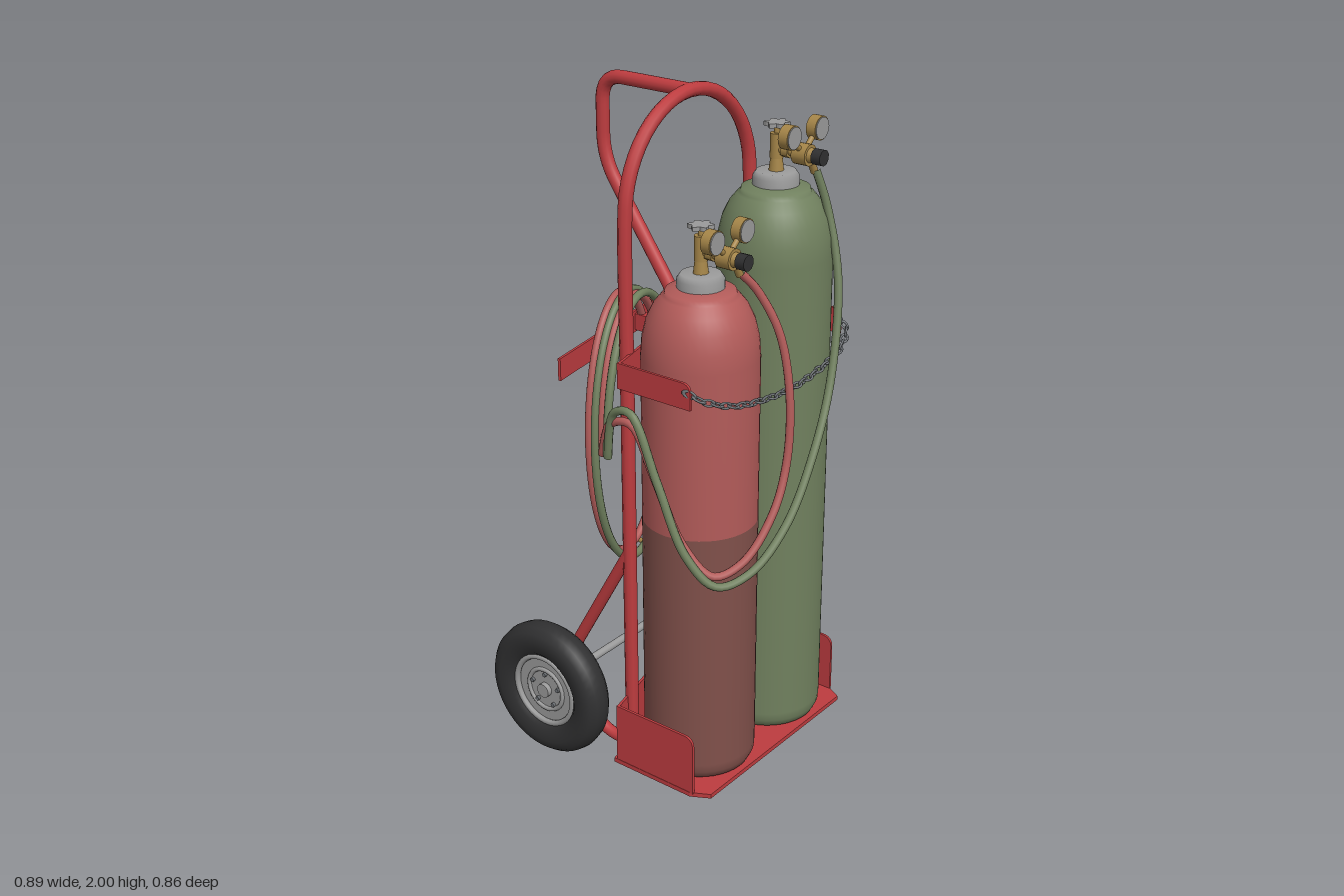
import * as THREE from 'three';

const V = (x, y, z) => new THREE.Vector3(x, y, z);
const mat = (name, color) => Object.assign(new THREE.MeshStandardMaterial({ color }), { name });

export function createModel() {
  const M = {
    frame: mat('frame red', 0xbd3c3f), ext: mat('extinguisher red', 0xd03536),
    tankRed: mat('faded red', 0xb25b59), maroon: mat('dull maroon', 0x80504a),
    green: mat('olive green', 0x70805e), brass: mat('brass', 0xa58548),
    grey: mat('light grey', 0x9a9a9a), black: mat('black rubber', 0x303031),
    chain: mat('chain steel', 0x6f7377),
  };
  const root = new THREE.Group();
  root.name = 'gasCylinderCart';

  const add = (parent, name, geo, m, x = 0, y = 0, z = 0) => {
    const mesh = new THREE.Mesh(geo, m);
    mesh.name = name;
    mesh.position.set(x, y, z);
    parent.add(mesh);
    return mesh;
  };
  const group = (name, x = 0, y = 0, z = 0) => {
    const g = new THREE.Group();
    g.name = name;
    g.position.set(x, y, z);
    root.add(g);
    return g;
  };
  const cyl = (r, h, r2 = r, n = 24) => new THREE.CylinderGeometry(r2, r, h, n);
  const cylZ = (r, h, r2 = r, n = 20) => cyl(r, h, r2, n).rotateX(Math.PI / 2);
  const cylX = (r, h, r2 = r, n = 24) => cyl(r, h, r2, n).rotateZ(-Math.PI / 2);
  const box = (x, y, z) => new THREE.BoxGeometry(x, y, z);
  const lathe = (pts, n = 40) => new THREE.LatheGeometry(pts.map(p => new THREE.Vector2(...p)), n);
  const tube = (pts, r, n = 80, tension = 0.5) => new THREE.TubeGeometry(
    new THREE.CatmullRomCurve3(pts, false, tension === 0.5 ? 'centripetal' : 'catmullrom', tension), n, r, 10);
  // Straight runs joined by rounded bends
  const bentTube = (pts, bend, r) => {
    const path = new THREE.CurvePath();
    let from = pts[0];
    for (let i = 1; i < pts.length - 1; i++) {
      const a = pts[i].clone().add(pts[i - 1].clone().sub(pts[i]).setLength(bend));
      const b = pts[i].clone().add(pts[i + 1].clone().sub(pts[i]).setLength(bend));
      path.add(new THREE.LineCurve3(from, a));
      path.add(new THREE.QuadraticBezierCurve3(a, pts[i], b));
      from = b;
    }
    path.add(new THREE.LineCurve3(from, pts[pts.length - 1]));
    return new THREE.TubeGeometry(path, 120, r, 12);
  };
  // Upright strip following a line seen from above
  const wall = (name, pts, y, h, t) => pts.slice(1).forEach(([x, z], i) => {
    const [px, pz] = pts[i];
    const w = add(root, name, box(Math.hypot(x - px, z - pz) + t * 0.5, h, t), M.frame, (x + px) / 2, y, (z + pz) / 2);
    w.rotation.y = -Math.atan2(z - pz, x - px);
  });

  // Base plate with chamfered front corners and shallow pointed back
  const outline = [[-0.33, 0.335], [-0.36, 0.28], [-0.36, -0.005], [-0.04, -0.075],
    [0.04, -0.075], [0.36, -0.005], [0.36, 0.28], [0.33, 0.335]];
  const plate = new THREE.Shape(outline.map(([x, z]) => new THREE.Vector2(x, -z)));
  add(root, 'basePlate', new THREE.ExtrudeGeometry(plate, { depth: 0.014, bevelEnabled: false })
    .rotateX(-Math.PI / 2), M.frame, 0, 0.01, 0);
  wall('baseBackWall', [[-0.355, 0.01], [-0.04, -0.066], [0.04, -0.066], [0.355, 0.01]], 0.115, 0.19, 0.008);

  // Side plates and upper band arms
  const side = (name, s, z0, z1, y0, y1, r) => {
    const sh = new THREE.Shape();
    sh.moveTo(z0, y0);
    sh.lineTo(z1, y0);
    sh.lineTo(z1, y1 - r);
    sh.quadraticCurveTo(z1, y1, z1 - r, y1);
    sh.lineTo(z0, y1);
    const g = new THREE.ExtrudeGeometry(sh, { depth: 0.008, bevelEnabled: false });
    add(root, name, g.rotateY(-Math.PI / 2), M.frame, s * 0.355 + 0.004, 0, 0);
  };
  for (const s of [-1, 1]) {
    side('baseSidePlate', s, 0.005, 0.29, 0.02, 0.21, 0.035);
    side('bandArm', s, 0.03, 0.28, 1.235, 1.31, 0.03);
  }
  wall('upperBand', [[-0.355, 0.035], [-0.04, -0.045], [0.04, -0.045], [0.355, 0.035]], 1.272, 0.075, 0.008);

  // Arched main tube
  const arch = [V(-0.28, 0.03, 0), V(-0.28, 0.6, 0), V(-0.28, 1.2, 0)];
  for (let i = 0; i <= 12; i++) {
    const a = Math.PI * (1 - i / 12);
    arch.push(V(0.28 * Math.cos(a), 1.69 + 0.29 * Math.sin(a), 0));
  }
  arch.push(V(0.28, 1.2, 0), V(0.28, 0.6, 0), V(0.28, 0.03, 0));
  add(root, 'archTube', tube(arch, 0.02, 120), M.frame);
  add(root, 'handleTube', bentTube([V(0, 1.98, 0), V(0, 1.98, -0.31), V(0, 1.74, -0.31),
    V(0, 1.36, -0.04), V(0, 0.03, -0.04)], 0.075, 0.02), M.frame);

  // Axle, braces and wheels
  add(root, 'axle', cylX(0.012, 0.72), M.grey, 0, 0.215, -0.22);
  const tyre = [[0.115, -0.03], [0.13, -0.044], [0.165, -0.05], [0.19, -0.044], [0.205, -0.025],
    [0.21, 0], [0.205, 0.025], [0.19, 0.044], [0.165, 0.05], [0.13, 0.044], [0.115, 0.03]];
  for (const s of [-1, 1]) {
    add(root, 'axleBrace', bentTube([V(s * 0.28, 0.69, 0), V(s * 0.28, 0.29, -0.225),
      V(s * 0.28, 0.15, -0.225), V(s * 0.28, 0.04, -0.1), V(s * 0.28, 0.04, 0)], 0.05, 0.018), M.frame);
    const w = group('wheel', s * 0.395, 0.21, -0.22);
    add(w, 'tyre', lathe(tyre, 48).rotateZ(-Math.PI / 2), M.black);
    add(w, 'wheelDisc', cylX(0.117, 0.045, 0.117, 36), M.grey);
    for (const e of [-1, 1]) {
      add(w, 'rimLip', new THREE.TorusGeometry(0.11, 0.009, 8, 36).rotateY(Math.PI / 2), M.grey, e * 0.028);
      add(w, 'discRing', new THREE.TorusGeometry(0.066, 0.007, 8, 30).rotateY(Math.PI / 2), M.grey, e * 0.023);
    }
    add(w, 'hub', cylX(0.04, 0.09), M.grey, -s * 0.028);
    add(w, 'hubCap', cylX(0.022, 0.02), M.grey, s * 0.028);
    for (let i = 0; i < 5; i++) {
      const a = i * Math.PI * 0.4;
      add(w, 'wheelBolt', cylX(0.007, 0.012, 0.007, 6), M.chain, s * 0.025, 0.052 * Math.cos(a), 0.052 * Math.sin(a));
    }
  }

  // Gas cylinders, each with collar, valve and regulator
  const star = new THREE.Shape();
  for (let i = 0; i < 24; i++) {
    const a = i * Math.PI / 12, r = 0.031 + 0.006 * Math.cos(6 * a);
    star[i ? 'lineTo' : 'moveTo'](r * Math.cos(a), r * Math.sin(a));
  }
  const shoulder = h => [[0.165, h - 0.18], [0.161, h - 0.125], [0.149, h - 0.075], [0.13, h - 0.035],
    [0.108, h - 0.008], [0.1, h - 0.004], [0.097, h + 0.008], [0.06, h + 0.018], [0, h + 0.018]];
  const foot = [[0, 0.024], [0.13, 0.024], [0.152, 0.032], [0.163, 0.055], [0.165, 0.08]];
  const tank = (name, x, h, lower, upper, split) => {
    const g = group(name, x, 0, 0.17);
    add(g, 'lowerShell', lathe([...foot, [0.165, split]]), lower);
    add(g, 'upperShell', lathe([[0.165, split], ...shoulder(h)]), upper);
    add(g, 'collar', lathe([[0.066, h], [0.066, h + 0.04], [0.056, h + 0.055], [0, h + 0.055]], 28), M.grey);
    const r = new THREE.Group();
    r.name = 'regulator';
    r.position.y = h + 0.115;
    g.add(r);
    add(r, 'valveStem', cyl(0.022, 0.05, 0.016), M.brass, 0, -0.04);
    add(r, 'valveBody', cyl(0.019, 0.07), M.brass, 0, 0.01);
    add(r, 'valveSpindle', cyl(0.008, 0.04), M.brass, 0, 0.055);
    add(r, 'handWheel', new THREE.ExtrudeGeometry(star, { depth: 0.012, bevelEnabled: false })
      .rotateX(-Math.PI / 2), M.grey, 0, 0.064);
    add(r, 'inletPipe', cylZ(0.012, 0.09), M.brass, 0, 0, 0.045);
    add(r, 'inletNut', cylZ(0.02, 0.022, 0.02, 6), M.brass, 0, 0, 0.035);
    add(r, 'regulatorBody', cylZ(0.03, 0.045), M.brass, 0, 0, 0.09);
    add(r, 'bonnet', cylZ(0.022, 0.025, 0.016), M.brass, 0, 0, 0.122);
    add(r, 'adjustingKnob', cylZ(0.023, 0.03, 0.023, 10), M.black, 0, 0, 0.142);
    add(r, 'outlet', cyl(0.011, 0.05), M.brass, 0.028, -0.035, 0.1).rotation.z = 0.5;
    for (const s of [-1, 1]) {
      add(r, 'gaugeStem', cyl(0.008, 0.07), M.brass, s * 0.035, 0.032, 0.088).rotation.z = -s * 0.85;
      add(r, 'gauge', cylZ(0.034, 0.03, 0.034, 28), M.brass, s * 0.066, 0.06, 0.088);
      add(r, 'gaugeFace', cylZ(0.031, 0.004, 0.031, 28), M.grey, s * 0.066, 0.06, 0.104);
    }
  };
  tank('redCylinder', -0.17, 1.49, M.maroon, M.tankRed, 0.82);
  tank('greenCylinder', 0.17, 1.695, M.green, M.green, 0.82);

  // Retaining chain of alternating links
  const sag = new THREE.CatmullRomCurve3([V(-0.355, 1.28, 0.275), V(-0.335, 1.262, 0.31), V(-0.25, 1.23, 0.343),
    V(-0.12, 1.207, 0.352), V(0, 1.2, 0.355), V(0.12, 1.207, 0.352), V(0.25, 1.23, 0.343),
    V(0.335, 1.262, 0.31), V(0.355, 1.28, 0.275)]);
  const chain = group('chain'), link = new THREE.TorusGeometry(0.0095, 0.0034, 6, 12).scale(1.75, 1, 1);
  for (let i = 0; i <= 28; i++) {
    const l = add(chain, 'chainLink', link, M.chain);
    l.position.copy(sag.getPointAt(i / 28));
    l.quaternion.setFromUnitVectors(V(1, 0, 0), sag.getTangentAt(i / 28));
    l.rotateX((i % 2) * Math.PI / 2 + 0.3);
  }

  // Hose hanger behind the frame
  wall('hoseHanger', [[-0.42, -0.122], [0.09, -0.213]], 1.272, 0.065, 0.008);
  add(root, 'hangerStrut', box(0.03, 0.05, 0.15), M.frame, 0, 1.272, -0.12);

  // Hoses: front drape, then one and a half coils over the hanger
  const coil = (dr, dz) => {
    const pts = [];
    for (let i = 0; i <= 36; i++) {
      const k = i / 24, a = Math.PI * (1 - 2 * k), c = Math.cos(a);
      pts.push(V(-0.14 + (0.2 + dr) * c, 1.01 + (0.4 + dr) * Math.sin(a), -0.075 - 0.2 * 0.2 * c - 0.045 * k + dz));
    }
    return pts;
  };
  add(root, 'greenHose', tube([V(0.21, 1.76, 0.275), V(0.235, 1.65, 0.3), V(0.225, 1.45, 0.35), V(0.15, 1.18, 0.385),
    V(0.03, 0.99, 0.41), V(-0.1, 0.83, 0.415), V(-0.23, 0.73, 0.39), V(-0.32, 0.71, 0.34), V(-0.365, 0.8, 0.27),
    V(-0.375, 1.0, 0.18), V(-0.375, 1.18, 0.09), V(-0.365, 1.16, 0.02), ...coil(0.012, 0.02)], 0.012, 300), M.green);
  add(root, 'redHose', tube([V(-0.13, 1.555, 0.275), V(-0.09, 1.5, 0.3), V(-0.055, 1.38, 0.35), V(-0.05, 1.2, 0.385),
    V(-0.075, 1.0, 0.395), V(-0.14, 0.87, 0.395), V(-0.24, 0.76, 0.37), V(-0.315, 0.735, 0.325), V(-0.35, 0.82, 0.25),
    V(-0.36, 1.0, 0.16), V(-0.36, 1.14, 0.08), V(-0.355, 1.12, 0), ...coil(0, -0.012)], 0.012, 300), M.tankRed);

  // Cutting torch hanging from the hoses
  const torch = group('torch', 0.055, 0, -0.175);
  for (const s of [-1, 1]) {
    add(torch, 'hoseFitting', cyl(0.013, 0.06, 0.013, 6), M.brass, 0, 1.0, s * 0.016);
    add(torch, 'torchValve', cylX(0.012, 0.04, 0.012, 8), M.brass, 0.025, 0.95, s * 0.02);
  }
  add(torch, 'torchManifold', box(0.03, 0.04, 0.05), M.brass, 0, 0.95);
  add(torch, 'torchGrip', cyl(0.019, 0.18), M.brass, 0, 0.85);
  add(torch, 'torchCollar', cyl(0.023, 0.03), M.brass, 0, 0.75);
  for (const [x, z] of [[0, 0.013], [0.011, -0.008], [-0.011, -0.008]])
    add(torch, 'torchPipe', cyl(0.0055, 0.22, 0.0055, 8), M.brass, x, 0.64, z);
  add(torch, 'torchHead', cyl(0.018, 0.045), M.brass, 0, 0.525);
  add(torch, 'torchTip', cylZ(0.006, 0.1, 0.013), M.brass, 0, 0.51, -0.04);

  // Fire extinguisher strapped to the left post
  const e = group('fireExtinguisher', 0.315, 0, -0.1);
  add(e, 'extinguisherBody', lathe([[0, 0.69], [0.055, 0.69], [0.065, 0.705], [0.065, 0.74], [0.067, 0.745], [0.067, 1.1],
    [0.062, 1.13], [0.045, 1.155], [0.025, 1.165], [0.025, 1.19], [0, 1.19]], 32), M.ext);
  add(e, 'footCap', cyl(0.045, 0.008), M.black, 0, 0.689);
  add(e, 'upperLabel', cyl(0.069, 0.04, 0.069, 32), M.grey, 0, 1.03);
  add(e, 'frontLabel', new THREE.CylinderGeometry(0.069, 0.069, 0.035, 16, 1, false, 0.9, 1.3), M.grey, 0, 0.935);
  add(e, 'lowerLabel', new THREE.CylinderGeometry(0.069, 0.069, 0.03, 16, 1, false, 1.5, 0.9), M.grey, 0, 0.87);
  add(e, 'strap', cyl(0.073, 0.028, 0.073, 32), M.black, 0, 0.985);
  add(e, 'strapBuckle', box(0.025, 0.035, 0.02), M.black, 0.02, 0.985, -0.076);
  for (const y of [0.985, 0.85])
    add(e, 'mountingBolt', cylZ(0.009, 0.07), M.chain, -0.03, y, 0.075);
  add(e, 'extinguisherValve', cyl(0.018, 0.05), M.chain, 0, 1.205);
  const handle = new THREE.Group();
  handle.name = 'handle';
  handle.position.y = 1.22;
  handle.rotation.y = 0.42 + Math.PI;
  e.add(handle);
  add(handle, 'lowerGrip', box(0.026, 0.01, 0.11), M.chain, 0, 0.005, 0.05).rotation.x = 0.08;
  add(handle, 'squeezeLever', box(0.036, 0.01, 0.14), M.grey, 0, 0.05, 0.06).rotation.x = -0.5;
  add(handle, 'nozzle', cylZ(0.008, 0.09), M.chain, 0, 0, -0.045);
  add(handle, 'nozzleTip', cylZ(0.013, 0.02), M.chain, 0, 0, -0.09);
  handle.rotation.y = Math.PI - 0.42;

  return root;
}
